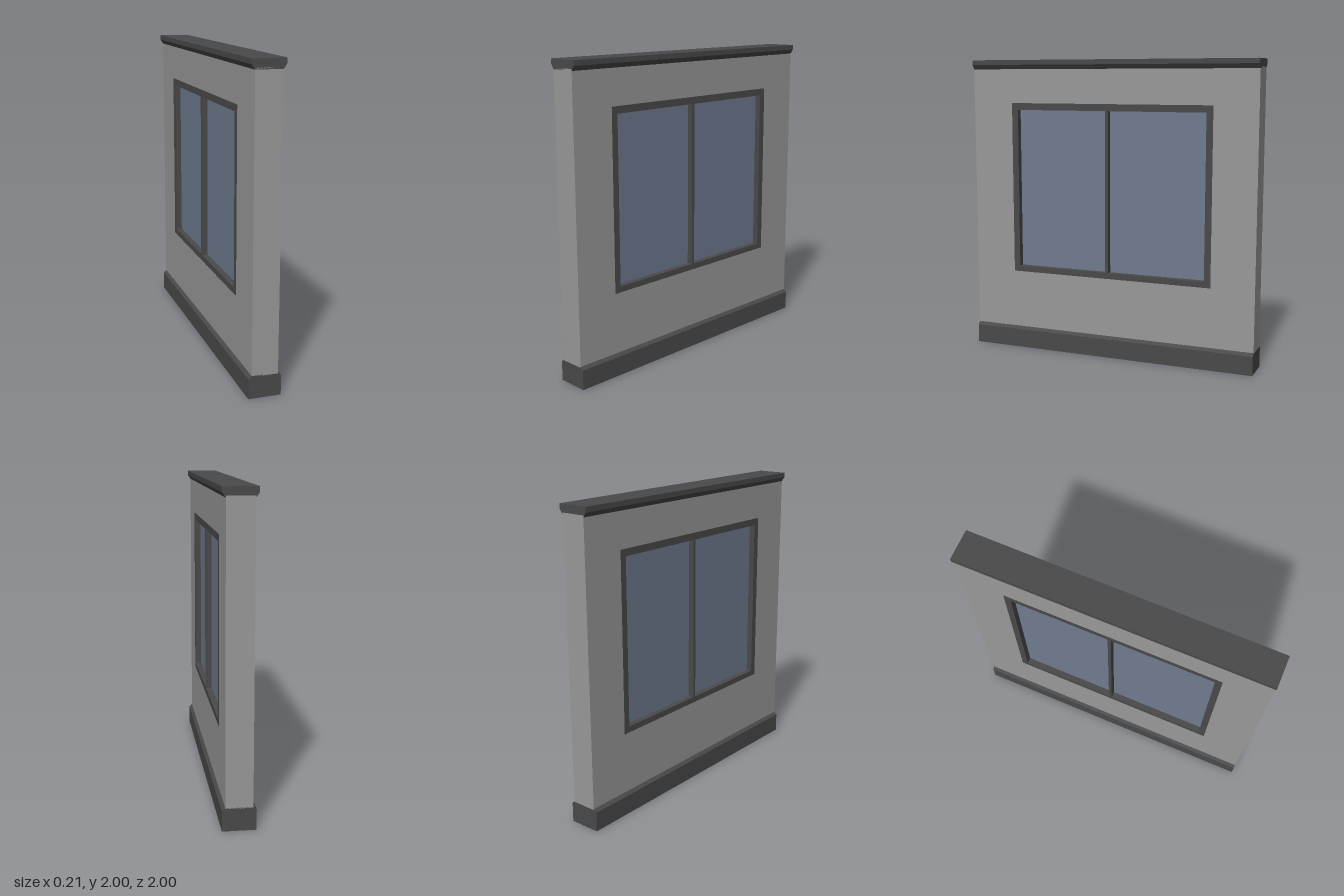
import * as THREE from 'three';

const wallMat = new THREE.MeshStandardMaterial({ color: 0x999999 });
const trimMat = new THREE.MeshStandardMaterial({ color: 0x4a4a4a });
const glassMat = new THREE.MeshStandardMaterial({ color: 0x6f7b90 });

const HALF = 0.083;   // half thickness of the wall
const LIP = 0.103;    // half thickness of base and cap

// Rectangle in the (z, y) plane, as a shape or a hole
function rect(target, z, y0, y1) {
  target.moveTo(-z, y0);
  target.lineTo(z, y0);
  target.lineTo(z, y1);
  target.lineTo(-z, y1);
  target.closePath();
  return target;
}

// Panel with an opening, extruded through the wall thickness (x)
function panel(name, outer, inner, material) {
  const shape = rect(new THREE.Shape(), ...outer);
  shape.holes.push(rect(new THREE.Path(), ...inner));
  const geo = new THREE.ExtrudeGeometry(shape, { depth: 2 * HALF, bevelEnabled: false });
  geo.translate(0, 0, -HALF);
  geo.rotateY(Math.PI / 2);
  const mesh = new THREE.Mesh(geo, material);
  mesh.name = name;
  return mesh;
}

// Chamfered moulding running the full length (z) of the wall
function moulding(name, points) {
  const shape = new THREE.Shape(points.map(([x, y]) => new THREE.Vector2(x, y)));
  const geo = new THREE.ExtrudeGeometry(shape, { depth: 2, bevelEnabled: false });
  geo.translate(0, 0, -1);
  const mesh = new THREE.Mesh(geo, trimMat);
  mesh.name = name;
  return mesh;
}

function box(name, size, position, material) {
  const mesh = new THREE.Mesh(new THREE.BoxGeometry(...size), material);
  mesh.position.set(...position);
  mesh.name = name;
  return mesh;
}

export function createModel() {
  const model = new THREE.Group();
  model.name = 'windowWall';

  const opening = [0.709, 0.542, 1.711];
  const pane = [0.665, 0.581, 1.665];
  const paneHeight = pane[2] - pane[1];
  const paneY = (pane[1] + pane[2]) / 2;

  // Wall and the frame set flush in its opening
  model.add(panel('wall', [1, 0.14, 1.95], opening, wallMat));
  model.add(panel('windowFrame', opening, pane, trimMat));

  // Base and cap mouldings
  model.add(moulding('baseMoulding', [
    [-LIP, 0], [LIP, 0], [LIP, 0.127], [HALF, 0.146], [-HALF, 0.146], [-LIP, 0.127],
  ]));
  model.add(moulding('capMoulding', [
    [-HALF, 1.939], [HALF, 1.939], [LIP, 1.968], [LIP, 2], [-LIP, 2], [-LIP, 1.968],
  ]));

  // Recessed glass, with a mullion on each face set to opposite sides of centre
  const glassHalf = 0.043;
  model.add(box('glass', [2 * glassHalf, paneHeight, 2 * pane[0]], [0, paneY, 0], glassMat));
  for (const side of [1, -1]) {
    model.add(box(side > 0 ? 'leftMullion' : 'rightMullion',
      [HALF - glassHalf, paneHeight, 0.021],
      [side * (HALF + glassHalf) / 2, paneY, side * 0.012], trimMat));
  }
  return model;
}
